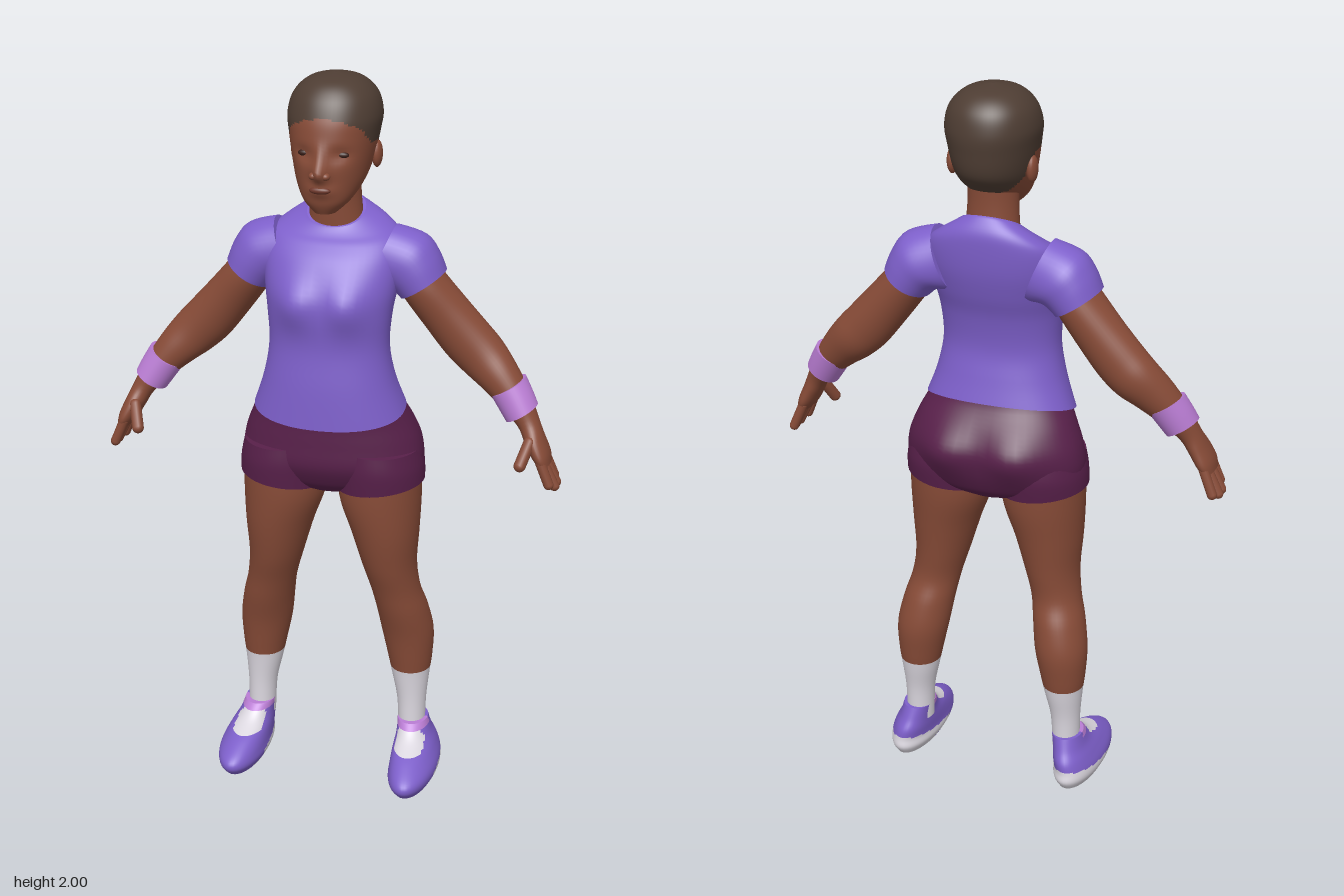
import * as THREE from 'three';

const mat = (name, color) => Object.assign(new THREE.MeshStandardMaterial({ color }), { name });
const skin = mat('skin', 0x874b37);
const purple = mat('purple', 0x7d5fca);
const plum = mat('plum', 0x58204a);
const hair = mat('hair', 0x4e3d33);
const lilac = mat('lilac', 0xba7dd4);
const white = mat('white', 0xdcd8e0);
const dark = mat('dark brown', 0x3a201a);
const lip = mat('lip', 0x6f382b);

const gauss = (d, w) => Math.exp(-(d * d) / (w * w));

// Smooth interpolation through a list of ring rows
function refine(rows, steps) {
  const out = [];
  const at = (i, k) => rows[Math.min(Math.max(i, 0), rows.length - 1)][k] ?? 0;
  for (let i = 0; i < rows.length - 1; i++) {
    for (let s = 0; s < steps; s++) {
      const t = s / steps;
      out.push([0, 1, 2, 3, 4, 5, 6].map((k) => {
        const [a, b, c, d] = [at(i - 1, k), at(i, k), at(i + 1, k), at(i + 2, k)];
        return 0.5 * (2 * b + (c - a) * t + (2 * a - 5 * b + 4 * c - d) * t * t + (3 * b - a - 3 * c + d) * t * t * t);
      }));
    }
  }
  out.push([0, 1, 2, 3, 4, 5, 6].map((k) => at(rows.length - 1, k)));
  return out;
}

// Closed loft. Ring row: x, y, z, half width, half depth, tilt about z, front slope.
// warp(p) reshapes points; pick(p) chooses a material index per face.
function loft(name, rows, materials, { seg = 40, steps = 5, n = 2, warp, pick } = {}) {
  const mats = [].concat(materials);
  const up = rows[0][1] < rows[rows.length - 1][1] ? rows : [...rows].reverse();
  const rings = refine(up, steps);
  const pts = [];
  const shape = (c) => Math.sign(c) * Math.abs(c) ** (2 / n);
  for (const [x, y, z, a, b, tilt, slope] of rings) {
    for (let j = 0; j < seg; j++) {
      const th = (j / seg) * Math.PI * 2;
      const u = a * shape(Math.cos(th)), v = b * shape(Math.sin(th));
      const p = new THREE.Vector3(x + u * Math.cos(tilt), y + u * Math.sin(tilt) + v * slope, z + v);
      if (warp) warp(p);
      pts.push(p);
    }
  }
  const faces = mats.map(() => []);
  const add = (...ids) => {
    const c = new THREE.Vector3();
    ids.forEach((i) => c.addScaledVector(pts[i], 1 / ids.length));
    const f = faces[pick ? pick(c) : 0];
    f.push(ids[0], ids[1], ids[2]);
    if (ids.length === 4) f.push(ids[0], ids[2], ids[3]);
  };
  const last = rings.length - 1;
  for (let i = 0; i < last; i++) {
    for (let j = 0; j < seg; j++) {
      const k = (j + 1) % seg;
      add(i * seg + j, (i + 1) * seg + j, (i + 1) * seg + k, i * seg + k);
    }
  }
  // End caps with their own rim points
  for (const r of [0, last]) {
    const start = pts.length;
    const c = new THREE.Vector3();
    for (let j = 0; j < seg; j++) {
      pts.push(pts[r * seg + j].clone());
      c.addScaledVector(pts[r * seg + j], 1 / seg);
    }
    pts.push(c);
    for (let j = 0; j < seg; j++) {
      const a = start + j, b = start + (j + 1) % seg;
      if (r === 0) add(start + seg, a, b); else add(start + seg, b, a);
    }
  }
  const g = new THREE.BufferGeometry().setFromPoints(pts);
  g.setIndex(faces.flat());
  let offset = 0;
  faces.forEach((f, i) => { g.addGroup(offset, f.length, i); offset += f.length; });
  g.computeVertexNormals();
  const mesh = new THREE.Mesh(g, mats.length > 1 ? mats : mats[0]);
  mesh.name = name;
  return mesh;
}

// Ellipsoid and capsule helpers
function ball(name, material, [x, y, z], [a, b, c]) {
  const mesh = new THREE.Mesh(new THREE.SphereGeometry(1, 20, 14).scale(a, b, c).translate(x, y, z), material);
  mesh.name = name;
  return mesh;
}
function capsule(name, material, p, q, r) {
  const a = new THREE.Vector3(...p), b = new THREE.Vector3(...q), d = b.clone().sub(a);
  const g = new THREE.CapsuleGeometry(r, d.length(), 6, 12);
  g.applyQuaternion(new THREE.Quaternion().setFromUnitVectors(new THREE.Vector3(0, 1, 0), d.normalize()));
  const c = a.add(b).multiplyScalar(0.5);
  const mesh = new THREE.Mesh(g.translate(c.x, c.y, c.z), material);
  mesh.name = name;
  return mesh;
}

// Mirrored copy across x = 0
function mirrored(mesh) {
  const g = mesh.geometry.clone().scale(-1, 1, 1), idx = g.index.array;
  for (let i = 0; i < idx.length; i += 3) [idx[i + 1], idx[i + 2]] = [idx[i + 2], idx[i + 1]];
  const copy = new THREE.Mesh(g, mesh.material);
  copy.name = mesh.name + 'Right';
  return copy;
}

export function createModel() {
  const model = new THREE.Group();
  model.name = 'athlete';
  const pair = (mesh) => { model.add(mesh, mirrored(mesh)); mesh.name += 'Left'; };

  // Shirt body, with a scooped neck and a hem that rises at the back
  model.add(loft('shirt', [
    [0, 1.115, 0.01, 0.207, 0.132, 0, -0.25], [0, 1.2, 0.015, 0.178, 0.12, 0, -0.1],
    [0, 1.29, 0.017, 0.162, 0.107], [0, 1.38, 0.012, 0.167, 0.114], [0, 1.45, -0.005, 0.178, 0.12],
    [0, 1.52, -0.03, 0.185, 0.112], [0, 1.575, -0.05, 0.175, 0.098, 0, -0.15],
    [0, 1.605, -0.06, 0.14, 0.085, 0, -0.3], [0, 1.63, -0.058, 0.092, 0.068, 0, -0.5],
    [0, 1.637, -0.056, 0.078, 0.062, 0, -0.55],
  ], purple, {
    n: 2.2, seg: 56,
    warp: (p) => { if (p.z > 0) p.z += 0.025 * gauss(Math.abs(p.x) - 0.07, 0.055) * gauss(p.y - 1.42, 0.06); },
  }));
  pair(loft('sleeve', [
    [0.13, 1.52, -0.05, 0.092, 0.08, 1.2], [0.185, 1.51, -0.055, 0.09, 0.088, 0.9],
    [0.215, 1.485, -0.055, 0.08, 0.088, 0.7], [0.238, 1.45, -0.055, 0.07, 0.085, 0.58],
  ], purple));

  // Shorts
  model.add(loft('shorts', [
    [0, 1.2, 0, 0.16, 0.1], [0, 1.14, 0, 0.19, 0.115], [0, 1.08, -0.02, 0.22, 0.13],
    [0, 1.02, -0.03, 0.243, 0.142], [0, 0.96, -0.028, 0.25, 0.14], [0, 0.91, -0.03, 0.23, 0.12],
    [0, 0.885, -0.03, 0.16, 0.1], [0, 0.87, -0.03, 0.08, 0.08],
  ], plum, {
    n: 2.2, seg: 56,
    warp: (p) => { if (p.z < -0.03) p.z -= 0.03 * gauss(Math.abs(p.x) - 0.1, 0.075) * gauss(p.y - 1.02, 0.07); },
  }));
  pair(loft('shortsLeg', [
    [0.132, 1.0, -0.02, 0.112, 0.13], [0.134, 0.95, -0.02, 0.12, 0.134], [0.135, 0.89, -0.018, 0.122, 0.126, 0.12],
  ], plum));

  // Legs with socks
  pair(loft('leg', [
    [0.135, 0.95, -0.02, 0.113, 0.122], [0.135, 0.85, -0.018, 0.113, 0.12], [0.15, 0.75, -0.016, 0.094, 0.107],
    [0.162, 0.65, -0.02, 0.076, 0.09], [0.178, 0.57, -0.03, 0.069, 0.076], [0.194, 0.5, -0.05, 0.072, 0.08],
    [0.207, 0.42, -0.068, 0.073, 0.077], [0.214, 0.34, -0.071, 0.063, 0.067], [0.217, 0.28, -0.07, 0.053, 0.058],
    [0.222, 0.2, -0.065, 0.041, 0.047], [0.224, 0.1, -0.062, 0.038, 0.044],
  ], [skin, white], { pick: (p) => (p.y < 0.3 ? 1 : 0) }));

  // Shoes: purple upper, white sole and tongue, lilac collar
  pair(loft('shoe', [
    [0.25, 0, 0.01, 0.055, 0.15], [0.25, 0.025, 0.013, 0.067, 0.17], [0.25, 0.05, 0.01, 0.066, 0.164],
    [0.243, 0.08, -0.015, 0.058, 0.135], [0.235, 0.11, -0.045, 0.048, 0.088], [0.228, 0.145, -0.06, 0.043, 0.058],
  ], [purple, white, lilac], {
    seg: 48, steps: 6,
    pick: (p) => {
      if (p.y < 0.04 - p.z * 0.12 && p.z < 0.06 && p.y > 0.006) return 1;
      if (p.y <= 0.006 && (p.z < -0.03 || (p.z > 0.03 && p.z < 0.1))) return 1;
      if (p.y > 0.13 && p.z > -0.06) return 2;
      return p.y > 0.088 && p.z > 0 && Math.abs(p.x - 0.238) < 0.04 ? 1 : 0;
    },
  }));

  // Arms, wristbands and hands
  pair(loft('arm', [
    [0.2, 1.5, -0.055, 0.058, 0.07, 0.6], [0.24, 1.445, -0.055, 0.062, 0.073, 0.6],
    [0.3, 1.37, -0.06, 0.066, 0.066, 0.65], [0.355, 1.305, -0.062, 0.069, 0.062, 0.72],
    [0.4, 1.26, -0.06, 0.066, 0.06, 0.75], [0.447, 1.215, -0.045, 0.056, 0.055, 0.7],
    [0.496, 1.16, -0.028, 0.043, 0.047, 0.6], [0.535, 1.105, -0.012, 0.03, 0.037, 0.5],
    [0.556, 1.065, 0.002, 0.027, 0.048, 0.45], [0.577, 1.025, 0.008, 0.024, 0.054, 0.45],
    [0.59, 1.0, 0.01, 0.016, 0.046, 0.45],
  ], skin));
  pair(loft('wristband', [[0.475, 1.193, -0.036, 0.053, 0.057, 0.55], [0.496, 1.16, -0.028, 0.051, 0.055, 0.55],
    [0.516, 1.127, -0.02, 0.048, 0.053, 0.55]], lilac));
  [[-0.036, 0.95, 0.607], [-0.008, 0.942, 0.617], [0.022, 0.942, 0.617], [0.05, 0.955, 0.605]].forEach(([z, y, x], i) =>
    pair(capsule('finger' + (i + 1), skin, [0.58, 1.015, z * 0.9 + 0.002], [x, y, z], 0.0135)));
  pair(capsule('thumb', skin, [0.548, 1.065, 0.038], [0.53, 1.01, 0.072], 0.016));

  // Neck
  model.add(loft('neck', [
    [0, 1.56, -0.055, 0.085, 0.055], [0, 1.62, -0.055, 0.073, 0.059],
    [0, 1.7, -0.05, 0.067, 0.061], [0, 1.78, -0.04, 0.07, 0.075],
  ], skin));

  // Head with cropped hair; the warp shapes nose, lips and eye sockets
  model.add(loft('head', [
    [0, 1.66, 0.052, 0.03, 0.04], [0, 1.69, 0.033, 0.062, 0.074], [0, 1.73, 0, 0.086, 0.108],
    [0, 1.78, -0.027, 0.102, 0.137], [0, 1.85, -0.04, 0.116, 0.14], [0, 1.9, -0.046, 0.122, 0.135],
    [0, 1.95, -0.05, 0.107, 0.115], [0, 1.985, -0.05, 0.068, 0.074], [0, 2.0, -0.05, 0.008, 0.008],
  ], [skin, hair], {
    n: 2.1, seg: 72, steps: 8,
    warp: (p) => {
      if (p.z < 0.03) return;
      const ax = Math.abs(p.x);
      p.z += 0.028 * gauss(ax, 0.02) * gauss(p.y - 1.77, 0.025) + 0.01 * gauss(ax, 0.014) * gauss(p.y - 1.805, 0.03);
      p.z += 0.012 * gauss(ax, 0.035) * gauss(p.y - 1.725, 0.018);
      p.z -= 0.01 * gauss(ax - 0.048, 0.025) * gauss(p.y - 1.815, 0.018);
    },
    pick: (p) => (p.y > (p.z > -0.05 ? 1.83 + 0.85 * Math.max(0, p.z) : 1.83 + 2 * (p.z + 0.05)) ? 1 : 0),
  }));
  pair(ball('ear', skin, [0.108, 1.79, -0.058], [0.014, 0.036, 0.024]));
  pair(ball('eye', dark, [0.047, 1.815, 0.077], [0.02, 0.009, 0.01]));
  pair(ball('nostril', skin, [0.016, 1.766, 0.117], [0.012, 0.01, 0.013]));
  model.add(ball('lips', lip, [0, 1.728, 0.113], [0.028, 0.01, 0.011]));

  return model;
}
